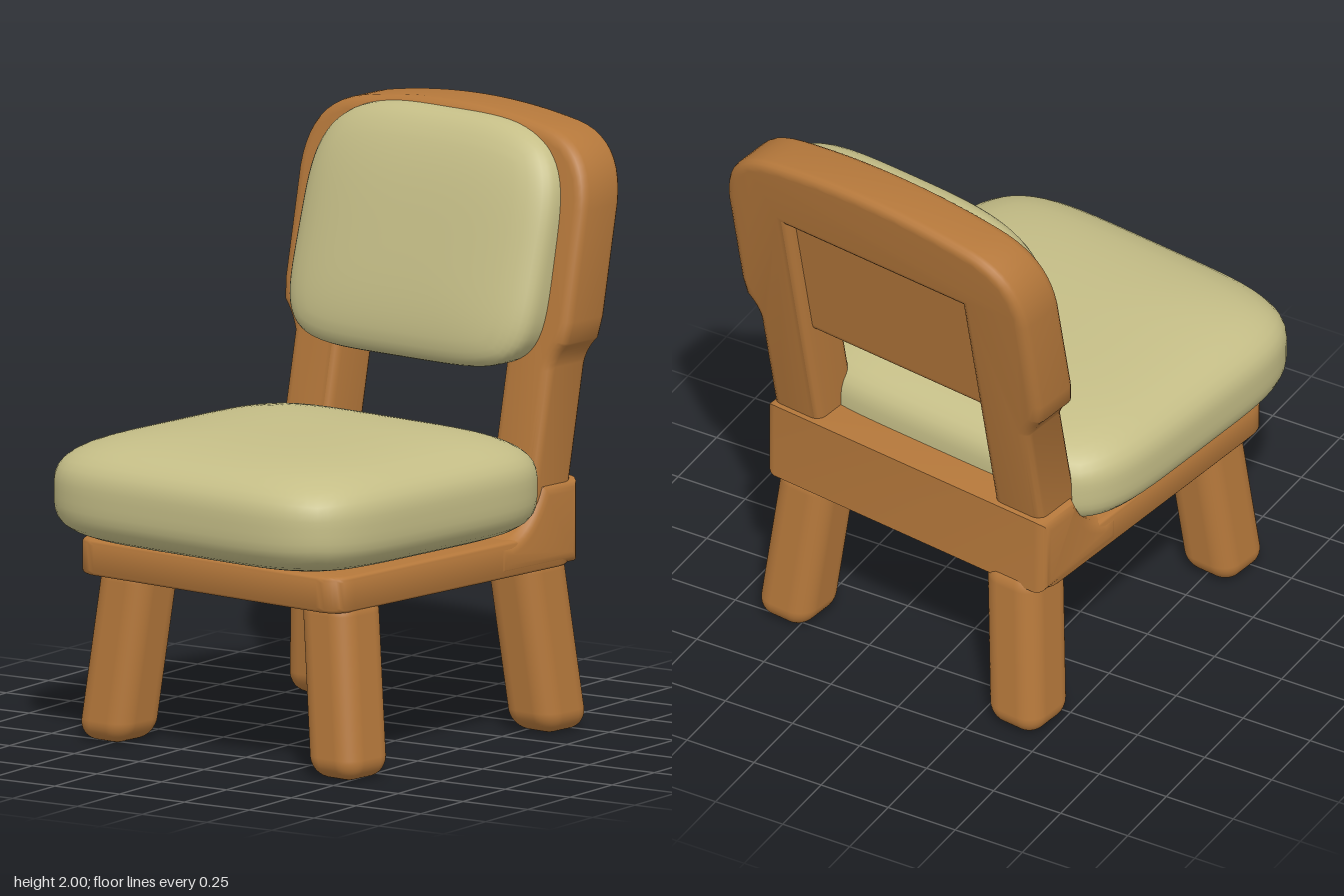
import * as THREE from 'three';
import { mergeVertices, toCreasedNormals } from 'three/addons/utils/BufferGeometryUtils.js';
import { RoundedBoxGeometry } from 'three/addons/geometries/RoundedBoxGeometry.js';

const wood = new THREE.MeshStandardMaterial({ color: 0xb5783b });
wood.name = 'wood';
const fabric = new THREE.MeshStandardMaterial({ color: 0xc5be87 });
fabric.name = 'fabric';

const BACK_Y = 1.585; // height at which back parts keep their given z

function part(name, geometry, material) {
  const mesh = new THREE.Mesh(geometry, material);
  mesh.name = name;
  return mesh;
}

// Tilt a back part by shearing z along y
function lean(geometry, slope) {
  geometry.applyMatrix4(new THREE.Matrix4().makeShear(0, 0, 0, -slope, 0, 0));
  return geometry.translate(0, 0, slope * BACK_Y);
}

// Plump cushion: superellipse in plan (own exponent for each z half),
// soft dome on top, flatter underneath
function cushion(halfW, halfH, halfD, planFront, planRear, topSoft, underSoft) {
  let geo = new THREE.BoxGeometry(2, 2, 2, 24, 14, 24);
  geo.deleteAttribute('uv');
  geo.deleteAttribute('normal');
  geo = mergeVertices(geo);
  const pos = geo.attributes.position;
  for (let i = 0; i < pos.count; i++) {
    const x = pos.getX(i), y = pos.getY(i), z = pos.getZ(i);
    const p = z > 0 ? planFront : planRear;
    const q = y > 0 ? topSoft : underSoft;
    const flat = (Math.abs(x) ** p + Math.abs(z) ** p) ** (1 / p);
    const n = (flat ** q + Math.abs(y) ** q) ** (1 / q);
    pos.setXYZ(i, (x / n) * halfW, (y / n) * halfH, (z / n) * halfD);
  }
  geo.computeVertexNormals();
  return geo;
}

// Extrude with rounded edges that stay inside the outline
function slab(shape, thickness, bevel) {
  const geo = new THREE.ExtrudeGeometry(shape, {
    depth: thickness - 2 * bevel, curveSegments: 10,
    bevelEnabled: true, bevelSize: bevel, bevelThickness: bevel,
    bevelOffset: -bevel, bevelSegments: 4,
  });
  geo.translate(0, 0, bevel - thickness / 2);
  return toCreasedNormals(geo, 0.7);
}

export function createModel() {
  const model = new THREE.Group();
  model.name = 'chair';

  // Seat base plate with rounded corners
  const w = 0.565, rear = -0.57, front = 0.622, r = 0.09;
  const plan = new THREE.Shape();
  plan.moveTo(-w, rear + r);
  plan.lineTo(-w, front - r);
  plan.quadraticCurveTo(-w, front, -w + r, front);
  plan.lineTo(w - r, front);
  plan.quadraticCurveTo(w, front, w, front - r);
  plan.lineTo(w, rear + r);
  plan.quadraticCurveTo(w, rear, w - r, rear);
  plan.lineTo(-w + r, rear);
  plan.quadraticCurveTo(-w, rear, -w, rear + r);
  const plate = slab(plan, 0.12, 0.018);
  plate.rotateX(Math.PI / 2);
  plate.translate(0, 0.61, 0);
  model.add(part('seatBase', plate, wood));

  // Raised rear rail, sweeping down to the plate
  const profile = new THREE.Shape();
  profile.moveTo(-0.58, 0.555);
  profile.lineTo(-0.18, 0.555);
  profile.lineTo(-0.18, 0.668);
  profile.lineTo(-0.24, 0.668);
  profile.quadraticCurveTo(-0.34, 0.69, -0.4, 0.835);
  profile.lineTo(-0.58, 0.835);
  const rail = slab(profile, 1.14, 0.04);
  rail.rotateY(-Math.PI / 2);
  model.add(part('rearRail', rail, wood));

  // Splayed legs: foot x, foot z, outward run per unit of height in x and z
  const legs = {
    frontLeftLeg: [0.53, 0.5, 0.14, 0.09],
    frontRightLeg: [-0.455, 0.5, -0.1, 0.09],
    rearLeftLeg: [0.485, -0.49, 0.1, -0.09],
    rearRightLeg: [-0.468, -0.505, -0.09, -0.09],
  };
  const legHeight = 0.6;
  for (const [name, [x, z, runX, runZ]] of Object.entries(legs)) {
    const leg = new RoundedBoxGeometry(0.21, legHeight, 0.22, 5, 0.07);
    leg.translate(0, legHeight / 2, 0);
    leg.applyMatrix4(new THREE.Matrix4().makeShear(0, 0, -runX, -runZ, 0, 0));
    leg.translate(x + runX * 0.3 * 0.1, 0.005, z + runZ * 0.3);
    model.add(part(name, leg, wood));
  }

  // Seat cushion
  const seat = cushion(0.648, 0.189, 0.624, 5, 5, 3, 4);
  seat.translate(0, 0.847, 0.172);
  model.add(part('seatCushion', seat, fabric));

  // Back frame: two posts joined by a broad rounded head
  const frame = new THREE.Shape();
  frame.moveTo(0.362, 0.7);
  frame.lineTo(0.555, 0.7);
  frame.lineTo(0.555, 1.2);
  frame.quadraticCurveTo(0.56, 1.25, 0.6, 1.29);
  frame.lineTo(0.61, 1.36);
  frame.lineTo(0.61, 1.72);
  frame.quadraticCurveTo(0.6, 1.93, 0.4, 1.965);
  frame.quadraticCurveTo(0.2, 2, 0, 2);
  frame.quadraticCurveTo(-0.2, 2, -0.4, 1.965);
  frame.quadraticCurveTo(-0.6, 1.93, -0.61, 1.72);
  frame.lineTo(-0.61, 1.36);
  frame.lineTo(-0.6, 1.29);
  frame.quadraticCurveTo(-0.56, 1.25, -0.54, 1.2);
  frame.lineTo(-0.54, 0.7);
  frame.lineTo(-0.345, 0.7);
  frame.lineTo(-0.345, 1.7);
  frame.lineTo(0.362, 1.7);
  const back = slab(frame, 0.2, 0.035);
  back.translate(0, 0, -0.61);
  model.add(part('backFrame', lean(back, 0.2), wood));

  // Recessed panel behind the back cushion
  const panel = new RoundedBoxGeometry(0.78, 0.56, 0.15, 3, 0.03);
  panel.translate(0, 1.49, -0.59);
  model.add(part('backPanel', lean(panel, 0.2), wood));

  // Back cushion, thicker in front towards its lower edge
  const pad = cushion(0.522, 0.125, 0.395, 5, 3.5, 3.2, 4.5);
  pad.rotateX(Math.PI / 2);
  pad.translate(0, 1.585, -0.5);
  model.add(part('backCushion', lean(pad, 0.28), fabric));

  // The chair stands slightly turned
  model.rotation.y = -0.135;
  return model;
}
